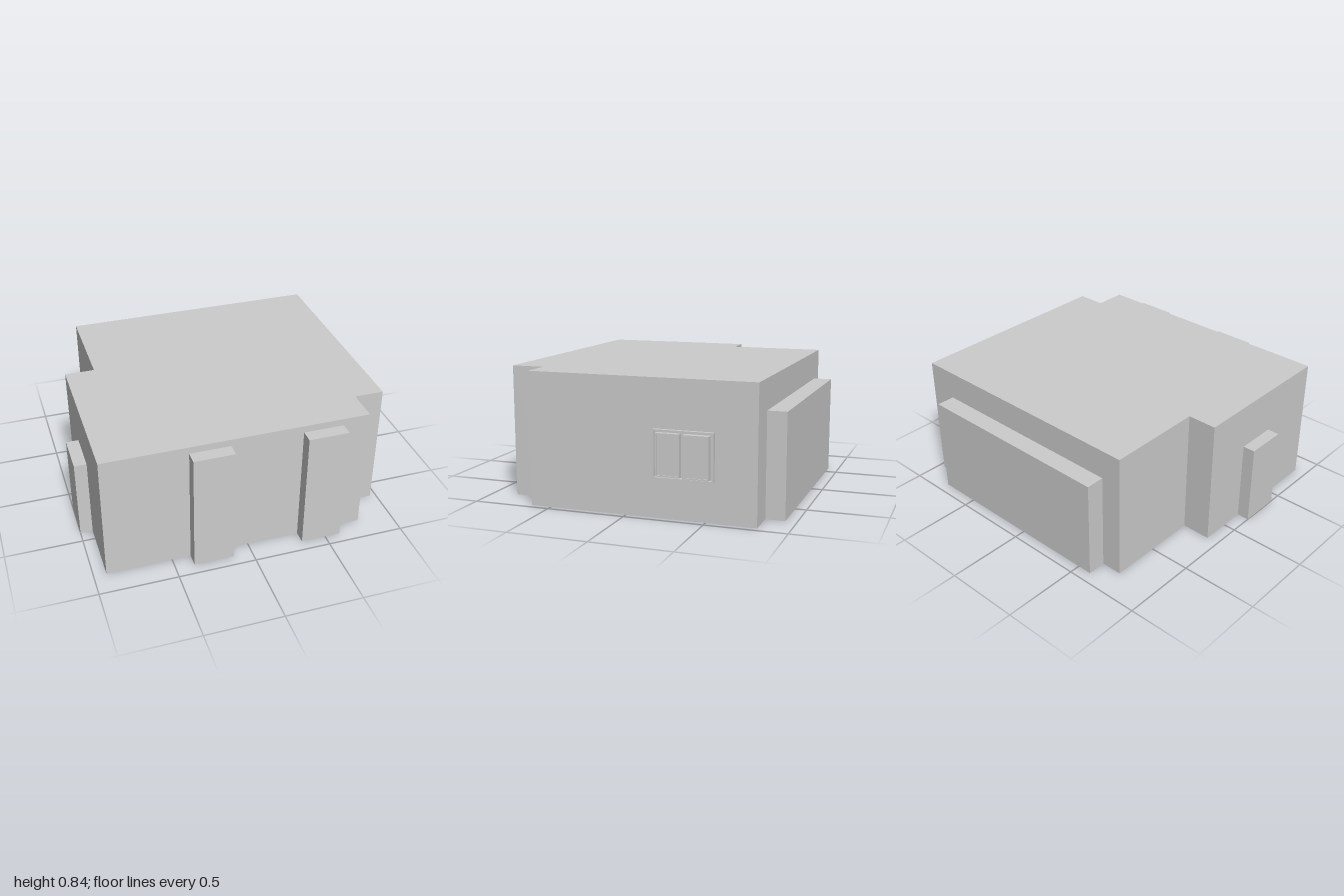
import * as THREE from 'three';

const material = new THREE.MeshStandardMaterial({ color: 0xcccccc, flatShading: true });

export function createModel() {
  const room = new THREE.Group();
  room.name = 'room';

  const add = (name, geometry, parent = room) => {
    const mesh = new THREE.Mesh(geometry, material);
    mesh.name = name;
    parent.add(mesh);
    return mesh;
  };

  // Box given by its extents along each axis
  const block = (name, [x0, x1], [y0, y1], [z0, z1], parent) => {
    const mesh = add(name, new THREE.BoxGeometry(x1 - x0, y1 - y0, z1 - z0), parent);
    mesh.position.set((x0 + x1) / 2, (y0 + y1) / 2, (z0 + z1) / 2);
    return mesh;
  };

  // Rectangular frame lying in the side wall, facing +x
  const frame = (name, [x0, x1], [y0, y1], [z0, z1], rim, parent) => {
    const w = z1 - z0, h = y1 - y0;
    const rect = (Type, a, b) => new Type([
      new THREE.Vector2(-a, -b), new THREE.Vector2(a, -b),
      new THREE.Vector2(a, b), new THREE.Vector2(-a, b),
    ]);
    const shape = rect(THREE.Shape, w / 2, h / 2);
    shape.holes.push(rect(THREE.Path, w / 2 - rim, h / 2 - rim));
    const geometry = new THREE.ExtrudeGeometry(shape, { depth: x1 - x0, bevelEnabled: false });
    geometry.rotateY(Math.PI / 2);
    add(name, geometry, parent).position.set(x0, (y0 + y1) / 2, (z0 + z1) / 2);
  };

  // Main body: stepped floor plan (x, z) raised to the roof
  const plan = [
    [-0.92, 0.84], [0.77, 0.84], [0.77, 0.63], [0.96, 0.63],
    [0.96, -0.81], [-0.73, -0.81], [-0.73, -0.18], [-0.92, -0.18],
  ];
  const outline = new THREE.Shape(plan.map(([x, z]) => new THREE.Vector2(x, -z)));
  const body = new THREE.ExtrudeGeometry(outline, { depth: 0.84, bevelEnabled: false });
  body.rotateX(-Math.PI / 2);
  add('walls', body);

  // Projecting niches on the front, back and side walls
  for (const x of [-0.38, 0.34]) block('frontNiche', [x, x + 0.26], [0, 0.795], [0.84, 0.925]);
  block('backNiche', [-0.595, 0.77], [0, 0.65], [-0.93, -0.81]);
  block('sideNiche', [-1, -0.92], [0, 0.54], [0.15, 0.42]);

  // Sliding window
  const windowGroup = new THREE.Group();
  windowGroup.name = 'window';
  room.add(windowGroup);
  frame('windowFrame', [0.96, 0.985], [0.245, 0.54], [-0.555, -0.18], 0.01, windowGroup);
  const sashes = [[-0.35, -0.2, 0.992], [-0.53, -0.37, 1]];
  for (const [z0, z1, front] of sashes) {
    frame('sash', [0.96, front], [0.26, 0.52], [z0, z1], 0.009, windowGroup);
    block('pane', [0.96, front - 0.006], [0.268, 0.512], [z0 + 0.008, z1 - 0.008], windowGroup);
  }

  // Drain ring flush with the underside
  const drain = add('drainRing', new THREE.TorusGeometry(0.04, 0.006, 6, 24).rotateX(Math.PI / 2));
  drain.position.set(0.84, 0.005, 0.49);

  return room;
}
